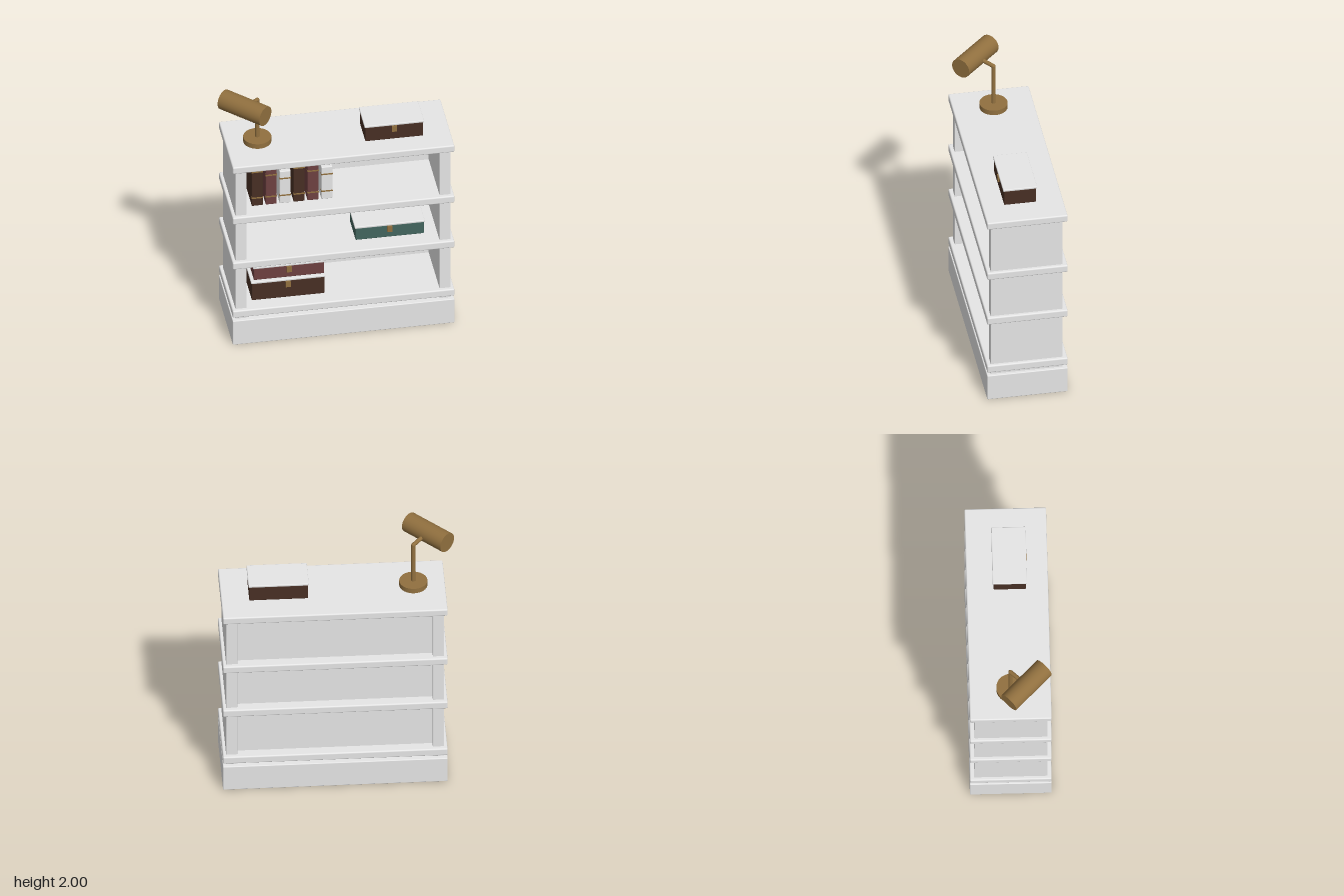
import * as THREE from 'three';
import { RoundedBoxGeometry } from 'three/addons/geometries/RoundedBoxGeometry.js';

const paint = (name, color) => {
  const m = new THREE.MeshStandardMaterial({ color });
  m.name = name;
  return m;
};

export function createModel() {
  const white = paint('white paint', 0xe6e6e6);
  const brass = paint('brass', 0x91703f);
  const brown = paint('dark brown leather', 0x482f24);
  const red = paint('dark red leather', 0x6d4040);
  const green = paint('dark green leather', 0x43655e);

  const model = new THREE.Group();
  model.name = 'bookcase';

  const group = (name) => {
    const g = new THREE.Group();
    g.name = name;
    model.add(g);
    return g;
  };
  const add = (parent, name, geometry, material) => {
    const mesh = new THREE.Mesh(geometry, material);
    mesh.name = name;
    parent.add(mesh);
    return mesh;
  };
  // Box given by its limits on each axis, softly rounded when r > 0
  const block = (parent, name, material, [x0, x1], [y0, y1], [z0, z1], r = 0.006) => {
    const size = [x1 - x0, y1 - y0, z1 - z0];
    const geometry = r ? new RoundedBoxGeometry(...size, 2, r) : new THREE.BoxGeometry(...size);
    const mesh = add(parent, name, geometry, material);
    mesh.position.set((x0 + x1) / 2, (y0 + y1) / 2, (z0 + z1) / 2);
    return mesh;
  };

  // Cabinet: plinth, shelves, thick sides and a recessed back
  const cabinet = group('cabinet');
  const wide = [-0.767, 0.823];
  const deep = [-0.292, 0.286];
  block(cabinet, 'plinth', white, wide, [0.004, 0.209], deep);
  for (const [y0, y1] of [[0.235, 0.294], [0.653, 0.712], [1.043, 1.101], [1.481, 1.538]]) {
    block(cabinet, 'shelf', white, wide, [y0, y1], deep, 0.01);
  }
  for (const side of [[-0.743, -0.664], [0.72, 0.799]]) {
    block(cabinet, 'sidePanel', white, side, [0.205, 1.5], [-0.259, 0.257], 0.004);
  }
  block(cabinet, 'backPanel', white, [-0.67, 0.726], [0.215, 1.5], [-0.217, -0.187], 0);

  // Row of books with two brass bands each
  const books = group('books');
  const kinds = [[brown, 1.456], [red, 1.418], [white, 1.378]];
  for (let i = 0; i < 6; i++) {
    const [cover, top] = kinds[i % 3];
    const x0 = -0.61 + i * 0.0998;
    const x1 = x0 + 0.08;
    block(books, 'book', cover, [x0, x1], [1.103, top], [-0.055, 0.165]);
    for (const y of [1.172, top - 0.061]) {
      block(books, 'bookBand', brass, [x0 - 0.001, x1 + 0.001], [y - 0.005, y + 0.005], [0.14, 0.168], 0);
    }
  }

  // Storage boxes: body, overhanging lid and small clasp
  const storageBox = (name, material, [x0, x1], [y0, y1], [z0, z1], claspX) => {
    const box = group(name);
    block(box, 'boxBody', material, [x0, x1], [y0, y1], [z0, z1]);
    block(box, 'boxLid', white, [x0 - 0.006, x1 + 0.006], [y1, y1 + 0.018], [z0 - 0.007, z1 + 0.007]);
    block(box, 'clasp', brass, [claspX - 0.018, claspX + 0.018], [y1 - 0.05, y1 - 0.003], [z1 - 0.005, z1 + 0.012], 0);
  };
  storageBox('topBox', brown, [0.21, 0.625], [1.539, 1.657], [-0.1, 0.13], 0.418);
  storageBox('greenBox', green, [0.135, 0.625], [0.714, 0.814], [-0.07, 0.16], 0.38);
  storageBox('largeBox', brown, [-0.612, -0.09], [0.297, 0.44], [-0.055, 0.18], -0.353);
  storageBox('redBox', red, [-0.595, -0.09], [0.459, 0.557], [-0.045, 0.165], -0.343);

  // Reading lamp
  const lamp = group('lamp');
  const poleX = -0.542;
  const cylinder = (name, r, y0, y1) => {
    const mesh = add(lamp, name, new THREE.CylinderGeometry(r, r, y1 - y0, 32), brass);
    mesh.position.set(poleX, (y0 + y1) / 2, 0);
  };
  cylinder('lampBase', 0.1, 1.548, 1.587);
  cylinder('lampPole', 0.015, 1.58, 1.905);
  const elbow = new THREE.Vector3(poleX, 1.903, 0);
  const headCentre = new THREE.Vector3(-0.653, 1.925, 0.111);
  add(lamp, 'lampElbow', new THREE.SphereGeometry(0.015, 16, 12), brass).position.copy(elbow);
  add(lamp, 'lampArm', new THREE.TubeGeometry(new THREE.LineCurve3(elbow, headCentre), 1, 0.015, 16), brass);

  // Horizontal shade turned 45 degrees, with a pale light strip underneath
  const head = new THREE.Group();
  head.name = 'lampHead';
  head.position.copy(headCentre);
  head.rotation.y = Math.PI / 4;
  lamp.add(head);
  add(head, 'lampShade', new THREE.CylinderGeometry(0.074, 0.074, 0.361, 40).rotateX(Math.PI / 2), brass);
  const half = 0.84;
  add(head, 'lightStrip',
    new THREE.CylinderGeometry(0.0755, 0.0755, 0.354, 20, 1, true, -half, 2 * half).rotateX(Math.PI / 2), white);

  return model;
}
